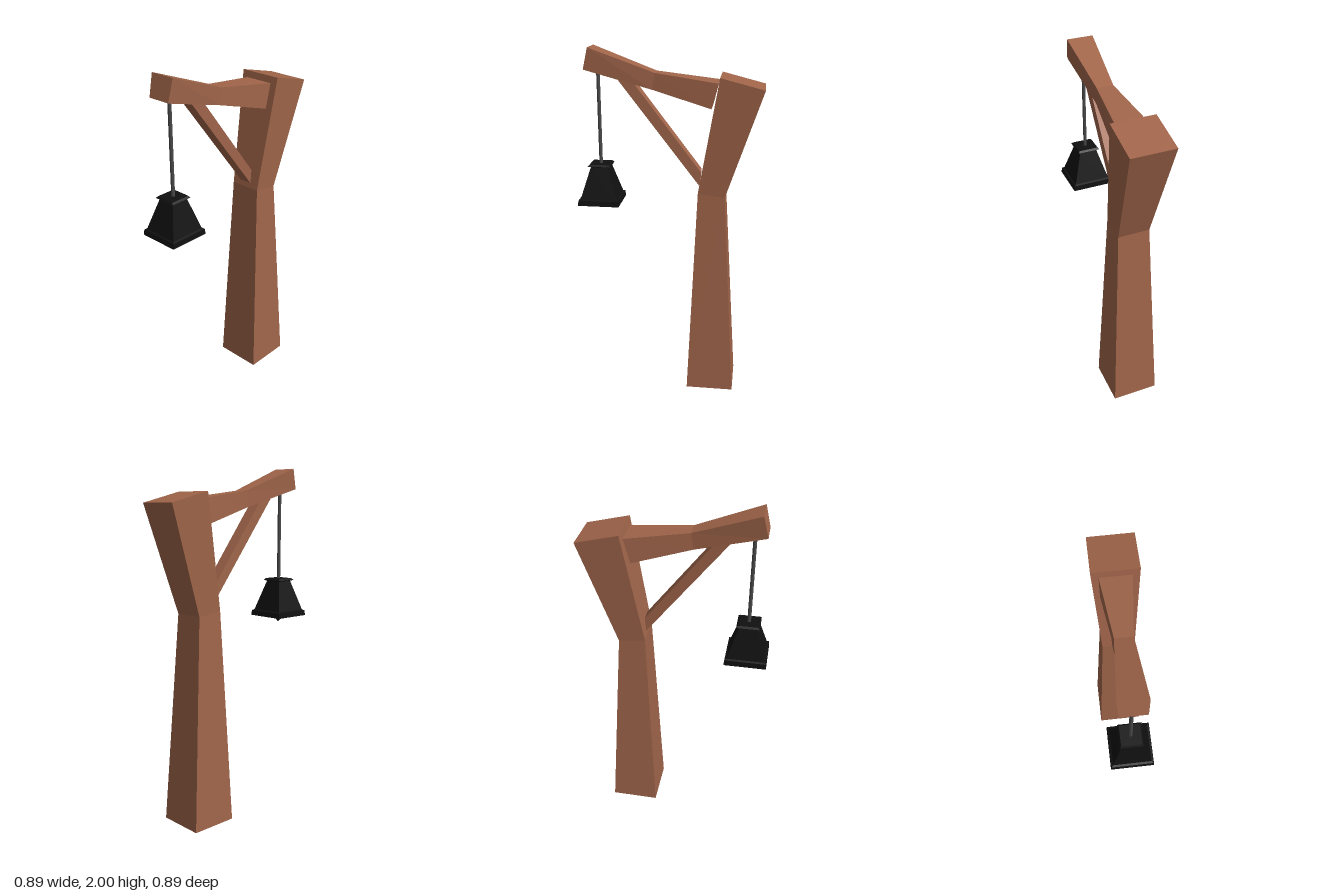
import * as THREE from 'three';

// Four-sided timber through sections [uP, yP, uQ, yQ, halfWidthP, halfWidthQ]:
// P and Q are the lower/outer and upper/inner profile points of each section.
function timber(sections) {
  const rings = sections.map(([pu, py, qu, qy, pw, qw = pw]) => [
    [pu, py, pw], [pu, py, -pw], [qu, qy, -qw], [qu, qy, qw],
  ]);
  const pos = [];
  const quad = (a, b, c, d) => pos.push(...a, ...b, ...c, ...a, ...c, ...d);
  for (let k = 0; k + 1 < rings.length; k++) {
    for (let i = 0; i < 4; i++) {
      const j = (i + 1) % 4;
      quad(rings[k][i], rings[k][j], rings[k + 1][j], rings[k + 1][i]);
    }
  }
  quad(...[...rings[0]].reverse());
  quad(...rings[rings.length - 1]);
  const g = new THREE.BufferGeometry();
  g.setAttribute('position', new THREE.Float32BufferAttribute(pos, 3));
  g.computeVertexNormals();
  return g;
}

// Square solid of revolution; radii are half diagonals
function squareLathe(profile) {
  const g = new THREE.LatheGeometry(profile.map(([r, y]) => new THREE.Vector2(r, y)), 4, Math.PI / 4)
    .toNonIndexed();
  g.computeVertexNormals();
  return g;
}

export function createModel() {
  const wood = new THREE.MeshStandardMaterial({ color: 0xa0654a, flatShading: true });
  wood.name = 'wood';
  const steel = new THREE.MeshStandardMaterial({ color: 0x4a4a4c });
  steel.name = 'steel';
  const iron = new THREE.MeshStandardMaterial({ color: 0x101010, flatShading: true, side: THREE.DoubleSide });
  iron.name = 'blackIron';

  const model = new THREE.Group();
  model.name = 'bellPost';
  const frame = new THREE.Group();
  frame.name = 'frame';
  frame.rotation.y = -Math.PI * 0.75; // local +x is the direction of the arm
  model.add(frame);

  const add = (name, geometry, material, x = 0, y = 0) => {
    const m = new THREE.Mesh(geometry, material);
    m.name = name;
    m.position.set(x, y, 0);
    frame.add(m);
    return m;
  };

  // Waisted post that leans back at the top
  add('post', timber([
    [-0.115, 0, -0.388, 0, 0.136],
    [-0.162, 1.22, -0.311, 1.2, 0.09],
    [-0.272, 1.86, -0.509, 1.8, 0.122],
  ]), wood);

  // Arm, thinnest in the middle
  add('arm', timber([
    [-0.228, 1.69, -0.261, 1.825, 0.083],
    [0.095, 1.78, 0.081, 1.87, 0.046],
    [0.465, 1.883, 0.436, 2.0, 0.066, 0.073],
  ]), wood);

  // Diagonal brace under the arm
  add('brace', timber([
    [-0.165, 1.25, -0.172, 1.33, 0.037],
    [0.31, 1.863, 0.222, 1.845, 0.037],
  ]), wood);

  // Hanging rod
  const bellX = 0.398;
  add('rod', new THREE.CylinderGeometry(0.01, 0.01, 0.53, 8), steel, bellX, 1.615);

  // Hollow square bell with rim and cap
  add('bell', squareLathe([
    [0, 1.31], [0.055, 1.31], [0.13, 1.165], [0.15, 1.13], [0.165, 1.13], [0.16, 1.16],
    [0.145, 1.165], [0.07, 1.34], [0.09, 1.346], [0.078, 1.356], [0, 1.356],
  ]), iron, bellX);

  // Clapper
  add('clapper', squareLathe([
    [0, 1.09], [0.017, 1.11], [0.017, 1.125], [0.007, 1.14], [0.007, 1.31],
  ]), iron, bellX);

  return model;
}
